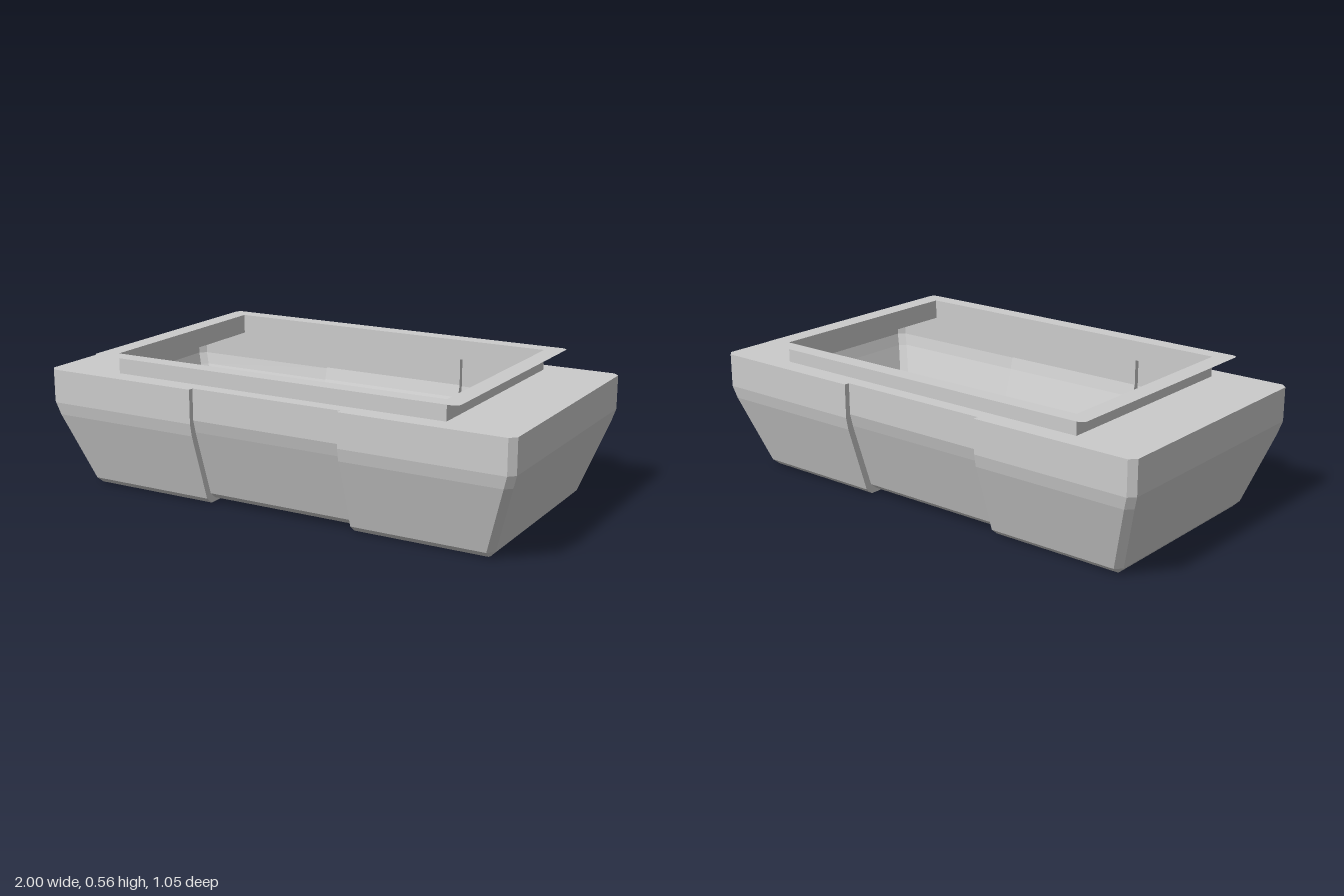
import * as THREE from 'three';

const material = new THREE.MeshStandardMaterial({ color: 0xcccccc, flatShading: true, side: THREE.DoubleSide });
const V = (x, y, z) => new THREE.Vector3(x, y, z);

const RIM_Y = 0.565, TOP_Y = 0.485;   // flange height, body top height
const OPEN_X = 0.71, OPEN_Z = 0.445;  // half size of the opening
const PANEL_X = 0.32;                 // half width of the recessed middle panels

// Joins closed loops, listed from top to bottom, into a faceted skin
function loft(loops) {
  const pts = [];
  const tri = (a, b, c) => {
    const area = b.clone().sub(a).cross(c.clone().sub(a)).length();
    if (area > 1e-8) pts.push(a, b, c);
  };
  for (let k = 0; k < loops.length - 1; k++) {
    const up = loops[k], low = loops[k + 1], n = up.length;
    for (let i = 0; i < n; i++) {
      const j = (i + 1) % n;
      tri(up[i], up[j], low[i]);
      tri(up[j], low[j], low[i]);
    }
  }
  const geometry = new THREE.BufferGeometry().setFromPoints(pts);
  geometry.computeVertexNormals();
  return geometry;
}

// Body outline: chamfered corners and a recessed panel on the front and back
function bodyLoop({ x, z, y, c, panelZ, panelY }) {
  const half = [
    V(x, y, z - c), V(x - c, y, z), V(PANEL_X, y, z), V(PANEL_X, panelY, panelZ),
    V(-PANEL_X, panelY, panelZ), V(-PANEL_X, y, z), V(c - x, y, z), V(-x, y, z - c),
  ];
  return [...half, ...half.map(p => V(-p.x, p.y, -p.z))];
}

function rectLoop(x, z, y) {
  return [V(x, y, z), V(-x, y, z), V(-x, y, -z), V(x, y, -z)];
}

function openingPath() {
  return new THREE.Path(rectLoop(OPEN_X, OPEN_Z, 0).map(p => new THREE.Vector2(p.x, p.z)));
}

// Rectangle with rounded corners
function roundedRect(x, z, r) {
  const s = new THREE.Shape();
  s.absarc(x - r, z - r, r, 0, Math.PI / 2);
  s.absarc(r - x, z - r, r, Math.PI / 2, Math.PI);
  s.absarc(r - x, r - z, r, Math.PI, Math.PI * 1.5);
  s.absarc(x - r, r - z, r, Math.PI * 1.5, Math.PI * 2);
  return s;
}

// Flat sheet facing up or down at height y
function sheet(shape, y, faceUp) {
  return new THREE.ShapeGeometry(shape, 4).rotateX(faceUp ? -Math.PI / 2 : Math.PI / 2).translate(0, y, 0);
}

export function createModel() {
  const model = new THREE.Group();
  model.name = 'basin';
  const add = (name, geometry) => {
    const mesh = new THREE.Mesh(geometry, material);
    mesh.name = name;
    model.add(mesh);
  };

  // Tapered walls; the last two levels form the notches in the underside
  const base = { x: 0.865, z: 0.395, y: 0, c: 0.005 };
  const loops = [
    { x: 1, z: 0.525, y: TOP_Y, c: 0.025, panelZ: 0.503, panelY: TOP_Y },
    { x: 1, z: 0.525, y: 0.35, c: 0.025, panelZ: 0.503, panelY: 0.36 },
    { x: 0.985, z: 0.515, y: 0.3, c: 0.025, panelZ: 0.49, panelY: 0.31 },
    { x: 0.89, z: 0.425, y: 0.025, c: 0.025, panelZ: 0.4, panelY: 0.04 },
    { ...base, panelZ: 0.37, panelY: 0.015 },
    { ...base, panelZ: 0.3, panelY: 0.015 },
    { ...base, panelZ: 0.3, panelY: 0 },
  ].map(bodyLoop);
  add('bodyWalls', loft(loops));

  // Top deck with the opening, and the floor
  const outline = loop => new THREE.Shape(loop.map(p => new THREE.Vector2(p.x, p.z)));
  const deck = outline(loops[0]);
  deck.holes.push(openingPath());
  add('topDeck', sheet(deck, TOP_Y, true));
  add('floor', sheet(outline(loops.at(-1)), 0, false));

  // Raised collar around the opening with a thin flange on top
  add('collar', loft([rectLoop(OPEN_X, OPEN_Z, RIM_Y), rectLoop(OPEN_X, OPEN_Z, TOP_Y)]));
  const flange = roundedRect(0.785, 0.512, 0.025);
  flange.holes.push(openingPath());
  add('flange', sheet(flange, RIM_Y, true));

  return model;
}
